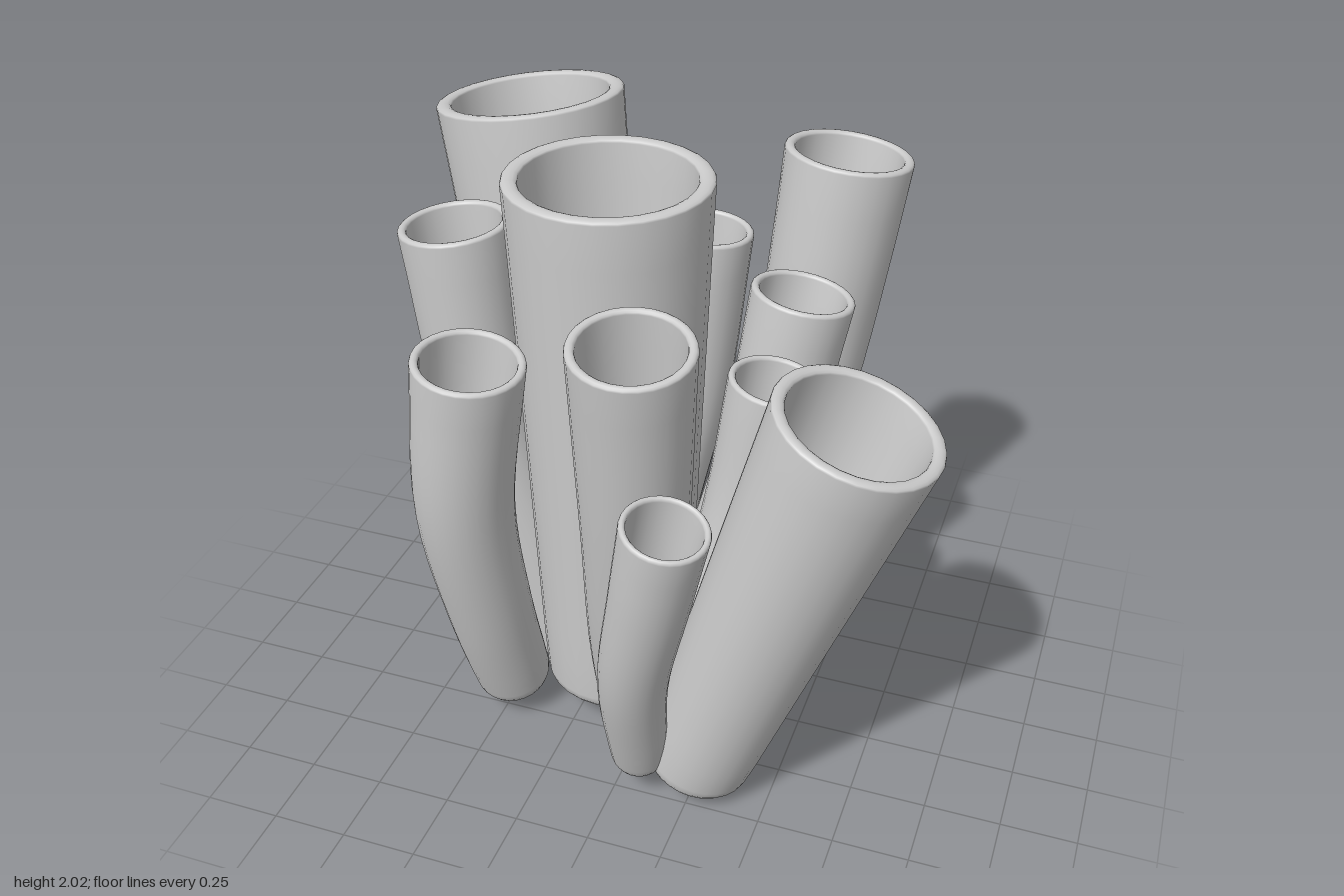
import * as THREE from 'three';

const SIDES = 28;
const UP = new THREE.Vector3(0, 1, 0);

// Hollow, tapering tube swept along a spine of [x, y, z] points from base to rim
function makeTube(name, points, rBase, rRim) {
  const spine = new THREE.CatmullRomCurve3(points.map(p => new THREE.Vector3(...p)));
  const length = spine.getLength();
  const radiusAt = t => rBase + (rRim - rBase) * t;
  const rings = []; // [t along spine, radius]

  // Flat base with a crisp outline, then a rounded edge
  rings.push([0, 0.001], [0, rBase * 0.84], [0, rBase * 0.84]);
  for (const a of [30, 60, 90]) {
    const k = a * Math.PI / 180;
    rings.push([0.05 * (1 - Math.cos(k)) / length, rBase * (0.84 + 0.16 * Math.sin(k))]);
  }
  // Outer wall
  const steps = 16;
  for (let i = 1; i < steps; i++) {
    const t = 0.04 + 0.93 * i / steps;
    rings.push([t, radiusAt(t)]);
  }
  // Rounded rim
  const wall = rRim * 0.16;
  for (let i = 0; i <= 6; i++) {
    const a = Math.PI * i / 6;
    rings.push([1 - 0.012 * (1 - Math.sin(a)) / length, rRim - wall / 2 + Math.cos(a) * wall / 2]);
  }
  // Inner wall and rounded floor
  const floor = 0.65;
  for (let i = 1; i <= 6; i++) {
    const t = 0.98 - (0.98 - floor - 0.03) * i / 6;
    rings.push([t, radiusAt(t) * 0.84]);
  }
  const rIn = radiusAt(floor) * 0.84;
  rings.push([floor + 0.01, rIn * 0.95], [floor, rIn * 0.82], [floor, rIn * 0.7], [floor, 0.001]);

  const positions = [], index = [];
  const turn = new THREE.Quaternion(), v = new THREE.Vector3();
  rings.forEach(([t, r], i) => {
    const centre = spine.getPointAt(t);
    turn.setFromUnitVectors(UP, spine.getTangentAt(t));
    for (let j = 0; j < SIDES; j++) {
      const a = 2 * Math.PI * j / SIDES;
      v.set(r * Math.sin(a), 0, r * Math.cos(a)).applyQuaternion(turn).add(centre);
      positions.push(v.x, v.y, v.z);
      if (i === 0 || i === 2) continue; // the doubled ring keeps the base edge sharp
      const k = (j + 1) % SIDES, lo = (i - 1) * SIDES, hi = i * SIDES;
      index.push(lo + j, lo + k, hi + k, lo + j, hi + k, hi + j);
    }
  });
  const geometry = new THREE.BufferGeometry();
  geometry.setAttribute('position', new THREE.Float32BufferAttribute(positions, 3));
  geometry.setIndex(index);
  geometry.computeVertexNormals();
  const mesh = new THREE.Mesh(geometry, new THREE.MeshStandardMaterial({ color: 0xcccccc }));
  mesh.name = name;
  return mesh;
}

// name, spine points, base radius, rim radius
const TUBES = [
  ['centralTube', [[-0.155, 0.1, 0.05], [-0.155, 1, 0.05], [-0.155, 1.98, 0.05]], 0.245, 0.318],
  ['largeBackRightTube', [[-0.4, 0.11, -0.38], [-0.525, 1.02, -0.455], [-0.655, 1.955, -0.535]], 0.23, 0.312],
  ['rightSideTube', [[-0.38, 0.11, -0.03], [-0.47, 0.5, -0.02], [-0.62, 1.05, 0], [-0.695, 1.725, 0]], 0.125, 0.18],
  ['frontRightTube', [[-0.485, 0.1, 0.21], [-0.495, 0.5, 0.34], [-0.5, 1, 0.45], [-0.435, 1.54, 0.48]], 0.13, 0.172],
  ['frontTube', [[-0.01, 0.08, 0.2], [0.01, 0.5, 0.31], [0.05, 1, 0.41], [0.085, 1.705, 0.515]], 0.14, 0.188],
  ['tallBackLeftTube', [[0.09, 0.04, -0.25], [0.175, 0.4, -0.39], [0.3, 1, -0.59], [0.365, 1.5, -0.635],
    [0.4, 1.845, -0.67]], 0.155, 0.212],
  ['leaningTube', [[0.24, 0.07, 0.37], [0.478, 0.8, 0.388], [0.715, 1.52, 0.405]], 0.185, 0.26],
  ['leftSideTube', [[0.12, 0.1, 0.2], [0.2, 0.45, 0.16], [0.31, 0.95, 0.095], [0.385, 1.41, 0.08]], 0.115, 0.146],
  ['backLeftTube', [[0.08, 0.1, 0.05], [0.18, 0.55, -0.09], [0.29, 1, -0.19], [0.375, 1.54, -0.25]], 0.125, 0.167],
  ['smallFrontTube', [[0.08, 0.13, 0.47], [0.12, 0.6, 0.63], [0.205, 1, 0.71], [0.265, 1.29, 0.745]], 0.095, 0.132],
  ['backTube', [[-0.17, 0.11, -0.31], [-0.14, 0.5, -0.36], [-0.06, 1, -0.42], [-0.012, 1.61, -0.455]], 0.12, 0.157],
];

export function createModel() {
  const group = new THREE.Group();
  group.name = 'tubeCluster';
  for (const tube of TUBES) group.add(makeTube(...tube));
  return group;
}
